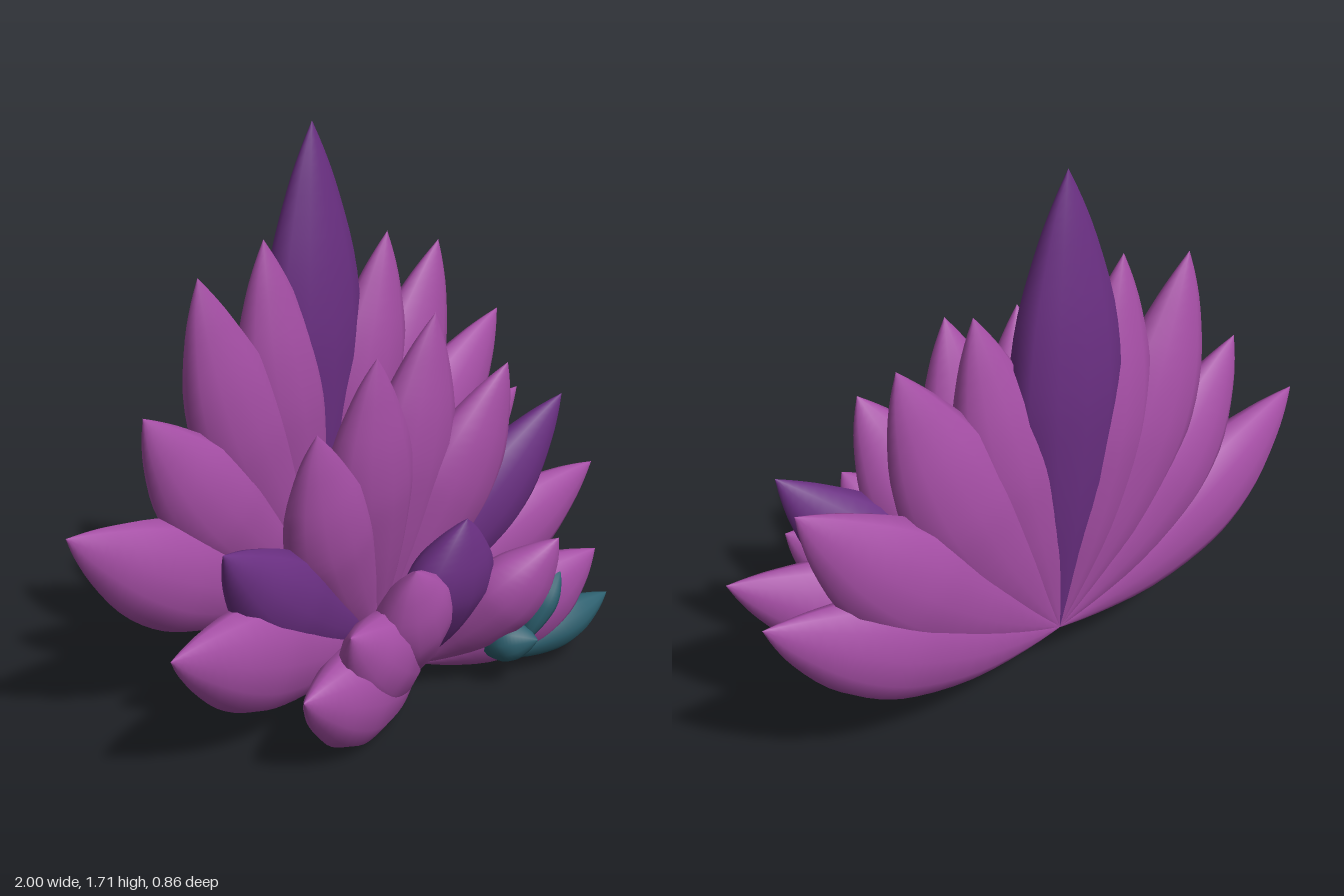
import * as THREE from 'three';

const flat = (name, color) => {
  const m = new THREE.MeshStandardMaterial({ color });
  m.name = name;
  return m;
};

// Relative width along a petal: narrow foot, full middle, pointed tip
const PROFILE = new THREE.SplineCurve([
  [0, 0.03], [0.12, 0.34], [0.3, 0.74], [0.48, 0.97], [0.6, 1],
  [0.73, 0.85], [0.86, 0.52], [0.94, 0.25], [1, 0],
].map(([t, w]) => new THREE.Vector2(t, w))).getPoints(24);
const SIDES = 12;

// Solid petal swept along a bowed centre line, with elliptical sections.
// sag bows it outward and down, bow shifts its middle along z.
function petalGeometry(base, tip, halfWidth, halfDepth, sag, bow) {
  const a = new THREE.Vector3(...base), b = new THREE.Vector3(...tip);
  const chord = b.clone().sub(a);
  const outward = new THREE.Vector3(chord.y, -chord.x, 0).normalize();
  if (chord.x < 0) outward.negate();
  const mid = a.clone().lerp(b, 0.5).addScaledVector(outward, sag);
  mid.z += bow;
  const path = new THREE.QuadraticBezierCurve3(a, mid, b);
  const positions = [], index = [];
  PROFILE.forEach((p, i) => {
    const t = THREE.MathUtils.clamp(p.x, 0, 1), w = Math.max(p.y, 0);
    const c = path.getPoint(t), T = path.getTangent(t);
    const W = new THREE.Vector3(0, 0, 1).cross(T).normalize();
    const N = T.clone().cross(W);
    for (let j = 0; j < SIDES; j++) {
      const ang = (j / SIDES) * Math.PI * 2;
      const v = c.clone()
        .addScaledVector(W, Math.cos(ang) * halfWidth * w)
        .addScaledVector(N, Math.sin(ang) * halfDepth * w);
      positions.push(v.x, v.y, v.z);
      if (i === 0) continue;
      const k = (j + 1) % SIDES, lo = (i - 1) * SIDES, hi = i * SIDES;
      index.push(lo + j, lo + k, hi + k, lo + j, hi + k, hi + j);
    }
  });
  const g = new THREE.BufferGeometry();
  g.setAttribute('position', new THREE.Float32BufferAttribute(positions, 3));
  g.setIndex(index);
  g.computeVertexNormals();
  return g;
}

export function createModel() {
  const pink = flat('orchid petal', 0xa54ea5);
  const dark = flat('deep purple petal', 0x6a2f82);
  const teal = flat('teal leaf', 0x2c5f6e);

  // Each petal: [tip, halfWidth, sag, material]
  const layers = [
    {
      name: 'backPetals', base: [0, 0.22, -0.32], depth: 0.1, bow: -0.01,
      petals: [
        [[0, 1.73, -0.31], 0.185, 0, dark],
        [[-0.23, 1.41, -0.28], 0.16, 0.04, pink],
        [[0.28, 1.36, -0.27], 0.16, 0.05, pink],
        [[-0.49, 1.34, -0.27], 0.17, 0.1, pink],
        [[0.54, 1.29, -0.29], 0.18, 0.1, pink],
        [[-0.72, 0.98, -0.25], 0.17, 0.09, pink],
        [[0.88, 0.99, -0.32], 0.18, 0.09, pink],
        [[-1, 0.7, -0.25], 0.17, 0.1, pink],
        [[1, 0.675, -0.32], 0.17, 0.1, pink],
      ],
    },
    {
      name: 'middlePetals', base: [0, 0.13, -0.04], depth: 0.1, bow: -0.04,
      petals: [
        [[-0.15, 1.11, 0.11], 0.16, 0.03, pink],
        [[0.15, 1.18, 0.06], 0.165, 0.03, pink],
        [[-0.4, 0.94, 0.12], 0.16, 0.1, pink],
        [[0.42, 0.98, 0.12], 0.17, 0.06, pink],
        [[-0.745, 0.68, 0.11], 0.15, 0.08, dark],
        [[0.71, 0.81, 0.11], 0.15, 0.08, dark],
        [[-0.96, 0.45, 0.14], 0.17, 0.05, pink],
        [[0.9, 0.52, 0.1], 0.16, 0.06, pink],
      ],
    },
    {
      name: 'frontPetals', base: [0, 0.1, 0.14], depth: 0.1, bow: 0.01,
      petals: [
        [[-0.01, 0.64, 0.34], 0.17, 0, dark],
        [[-0.26, 0.56, 0.37], 0.15, 0.06, pink],
        [[0.31, 0.51, 0.43], 0.14, 0.05, pink],
        [[-0.5, 0.43, 0.35], 0.15, 0.06, pink],
        [[0.55, 0.39, 0.39], 0.16, 0.06, pink],
        [[-0.67, 0.29, 0.34], 0.16, 0.05, pink],
      ],
    },
  ];

  const flower = new THREE.Group();
  flower.name = 'flower';
  for (const { name, base, depth, bow, petals } of layers) {
    const layer = new THREE.Group();
    layer.name = name;
    petals.forEach(([tip, width, sag, material], i) => {
      const mesh = new THREE.Mesh(petalGeometry(base, tip, width, depth, sag, bow), material);
      mesh.name = `${name}${i + 1}`;
      layer.add(mesh);
    });
    flower.add(layer);
  }

  // Small teal leaves tucked under the front right petals
  const leaves = [
    ['lowLeaf', [0.18, 0.1, 0.26], [0.65, 0.2, 0.37], 0.075, 0.07, 0.04],
    ['upperLeaf', [0.24, 0.14, 0.35], [0.39, 0.37, 0.38], 0.045, 0.05, -0.02],
    ['roundLeaf', [0.17, 0.14, 0.19], [0.25, 0.18, 0.41], 0.07, 0.07, 0],
  ];
  for (const [name, base, tip, width, depth, sag] of leaves) {
    const mesh = new THREE.Mesh(petalGeometry(base, tip, width, depth, sag, 0), teal);
    mesh.name = name;
    flower.add(mesh);
  }
  return flower;
}
